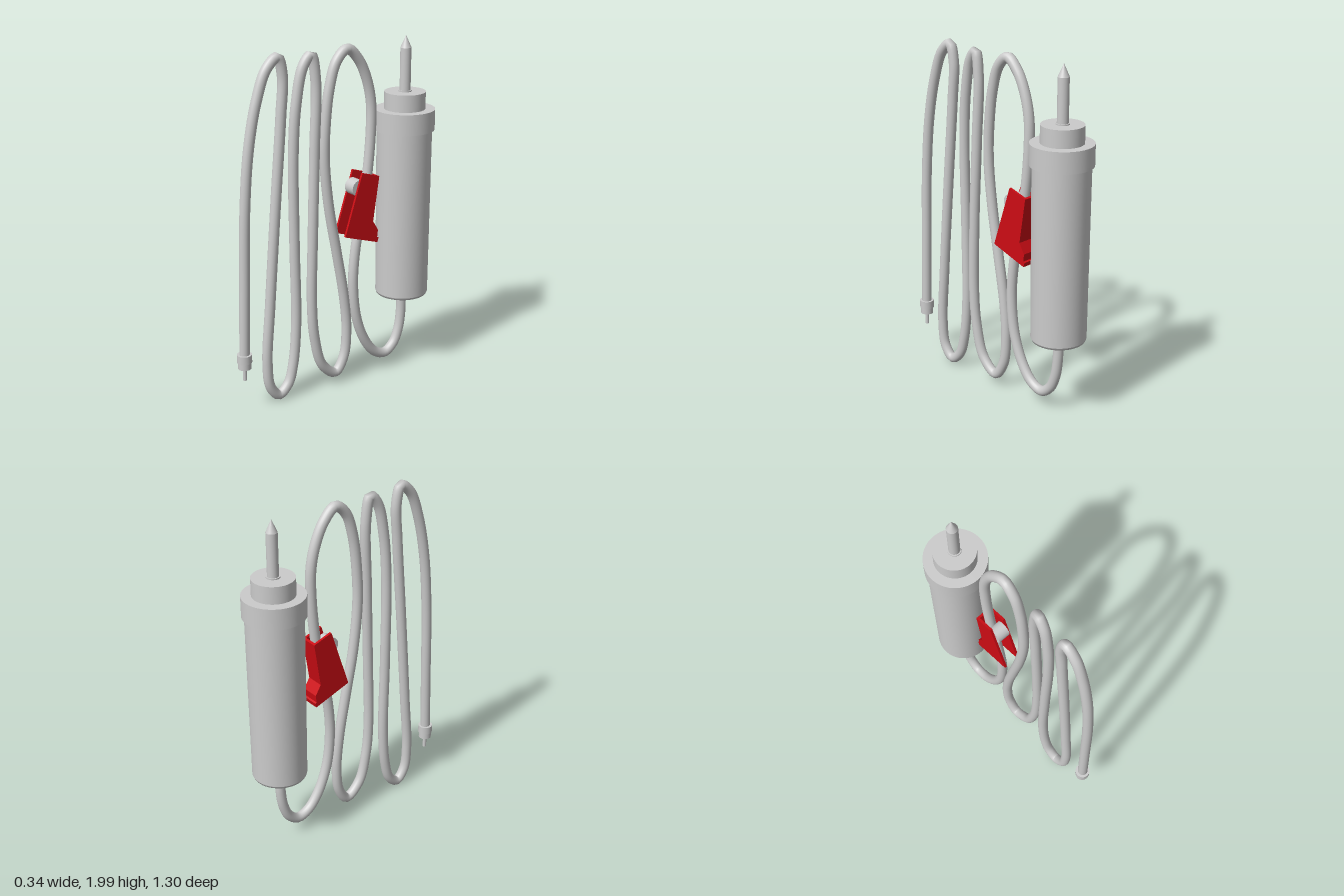
import * as THREE from 'three';

const grey = new THREE.MeshStandardMaterial({ color: 0xcccccc });
const red = new THREE.MeshStandardMaterial({ color: 0xcc0c14 });

function add(parent, name, geometry, material = grey) {
  const mesh = new THREE.Mesh(geometry, material);
  mesh.name = name;
  parent.add(mesh);
  return mesh;
}

// Upright turned part with crisp edges; bevel softens the lower rim
function turned(r, y0, y1, bevel = 0, rTop = r) {
  const v = (x, y) => new THREE.Vector2(x, y);
  const pts = [v(0, y0), v(r - bevel, y0), v(r - bevel, y0)];
  if (bevel) pts.push(v(r - bevel * 0.3, y0 + bevel * 0.3));
  pts.push(v(r, y0 + bevel), v(r, y0 + bevel), v(rTop, y1), v(rTop, y1), v(0, y1));
  return new THREE.LatheGeometry(pts, 48);
}

// Side profile given as [z, y], extruded across x from x0 to x1
function sidePlate(points, x0, x1) {
  const shape = new THREE.Shape(points.map(([z, y]) => new THREE.Vector2(z, y)));
  const geo = new THREE.ExtrudeGeometry(shape, { depth: x1 - x0, bevelEnabled: false });
  return geo.rotateY(-Math.PI / 2).translate(x1, 0, 0);
}

// Tube runs: sideways offset at the start of each run, then [z, y] points
const runs = [
  [0, [[-0.478, 0.46], [-0.477, 0.337], [-0.461, 0.231], [-0.424, 0.146], [-0.36, 0.1],
    [-0.286, 0.125], [-0.212, 0.215], [-0.148, 0.379], [-0.122, 0.602], [-0.138, 0.814]]],
  [0, [[-0.175, 1.0], [-0.217, 1.238], [-0.241, 1.503], [-0.239, 1.662], [-0.207, 1.795],
    [-0.154, 1.901], [-0.08, 1.967], [-0.011, 1.911], [0.037, 1.768], [0.064, 1.556], [0.069, 1.371]]],
  [-0.01, [[0.042, 1.106], [-0.011, 0.814], [-0.058, 0.549], [-0.077, 0.337], [-0.058, 0.162],
    [0.005, 0.074], [0.101, 0.151], [0.154, 0.337], [0.172, 0.549]]],
  [0.012, [[0.164, 0.973], [0.146, 1.45], [0.133, 1.821], [0.159, 1.962], [0.207, 1.906],
    [0.249, 1.715], [0.268, 1.45]]],
  [-0.02, [[0.265, 0.92], [0.262, 0.443], [0.286, 0.204], [0.323, 0.087], [0.387, 0.037],
    [0.445, 0.103], [0.464, 0.257]]],
  [-0.005, [[0.44, 0.602], [0.392, 1.185], [0.35, 1.662], [0.337, 1.874], [0.366, 1.972],
    [0.435, 1.917], [0.498, 1.758], [0.551, 1.514], [0.583, 1.185], [0.599, 0.708], [0.61, 0.34]]],
];

export function createModel() {
  const model = new THREE.Group();
  model.name = 'dripLine';

  // Drip chamber: barrel, collar, cap, spike and outlet
  const chamber = new THREE.Group();
  chamber.name = 'dripChamber';
  chamber.position.z = -0.478;
  model.add(chamber);
  add(chamber, 'barrel', turned(0.154, 0.464, 1.47, 0.018, 0.158));
  add(chamber, 'collar', turned(0.172, 1.466, 1.585));
  add(chamber, 'cap', turned(0.117, 1.58, 1.683));
  add(chamber, 'spike', turned(0.031, 1.68, 1.93));
  add(chamber, 'spikeTip', new THREE.ConeGeometry(0.031, 0.07, 32).translate(0, 1.965, 0));
  add(chamber, 'spikeBase', turned(0.038, 1.68, 1.69));
  add(chamber, 'outlet', turned(0.042, 0.44, 0.47));

  // Long looping tube
  const path = runs.flatMap(([x, pts], r) => {
    const next = r + 1 < runs.length ? runs[r + 1][0] : -0.01;
    return pts.map(([z, y], i) =>
      new THREE.Vector3(THREE.MathUtils.lerp(x, next, i / pts.length), y, z));
  });
  const curve = new THREE.CatmullRomCurve3(path, false, 'centripetal');
  add(model, 'tube', new THREE.TubeGeometry(curve, 600, 0.029, 20));

  // End connector
  const connector = new THREE.Group();
  connector.name = 'connector';
  connector.position.set(-0.01, 0, 0.61);
  model.add(connector);
  add(connector, 'connectorSleeve', turned(0.042, 0.305, 0.352));
  add(connector, 'connectorBody', turned(0.037, 0.268, 0.31));
  add(connector, 'connectorTip', turned(0.011, 0.195, 0.27));

  // Roller clamp: two cheeks joined by a back plate, with a roller between
  const clamp = new THREE.Group();
  clamp.name = 'rollerClamp';
  model.add(clamp);
  const back = [[-0.265, 1.233], [-0.225, 0.973], [-0.26, 0.915], [-0.255, 0.872],
    [-0.265, 0.867], [-0.257, 0.84]];
  const cheek = [[-0.148, 1.27], ...back, [-0.032, 0.915]];
  add(clamp, 'rightCheek', sidePlate(cheek, -0.055, -0.041), red);
  add(clamp, 'leftCheek', sidePlate(cheek, 0.035, 0.049), red);
  const inner = back.map(([z, y]) => [z + 0.014, y + 0.004]).reverse();
  add(clamp, 'backPlate', sidePlate([...back, ...inner], -0.042, 0.036), red);
  const roller = new THREE.CylinderGeometry(0.047, 0.047, 0.074, 32).rotateZ(Math.PI / 2);
  add(clamp, 'roller', roller).position.set(-0.003, 1.18, -0.138);

  return model;
}
